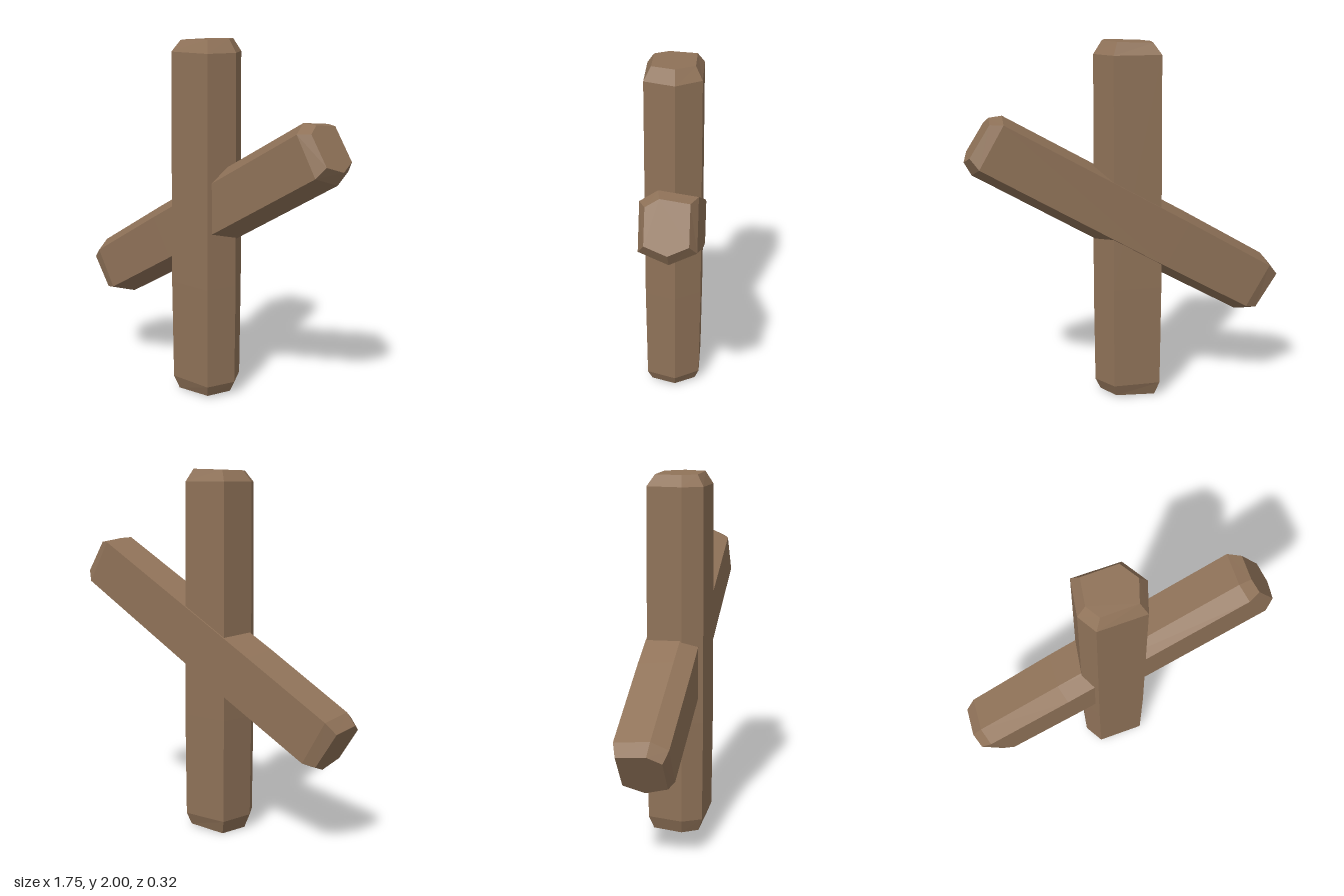
import * as THREE from 'three';

// Irregular hexagonal sections [x, z], counter-clockwise seen from above
const POST = [[-0.21, 0.05], [-0.15, 0.155], [0.115, 0.155], [0.172, -0.01], [0.09, -0.148], [-0.175, -0.15]];
const BEAM = [[-0.177, 0.04], [-0.123, 0.13], [0.12, 0.13], [0.179, -0.02], [0.12, -0.155], [-0.15, -0.155]];

// Hewn timber along y: rings are [height, section scale, slope along x]
function timber(name, section, rings, material) {
  const cx = (section[0][0] + section[3][0]) / 2;
  const loops = rings.map(([y, s, slope]) => section.map(([x, z]) =>
    [cx + (x - cx) * s, y + (x - cx) * s * slope, z * s]));
  const pos = [];
  const tri = (...points) => points.forEach((p) => pos.push(...p));
  const n = section.length;
  for (let r = 0; r < loops.length - 1; r++) {
    for (let i = 0; i < n; i++) {
      const j = (i + 1) % n, low = loops[r], high = loops[r + 1];
      tri(low[i], low[j], high[j]);
      tri(low[i], high[j], high[i]);
    }
  }
  // End caps
  const bottom = loops[0], top = loops[loops.length - 1];
  for (let i = 1; i < n - 1; i++) {
    tri(bottom[0], bottom[i + 1], bottom[i]);
    tri(top[0], top[i], top[i + 1]);
  }
  const geometry = new THREE.BufferGeometry();
  geometry.setAttribute('position', new THREE.Float32BufferAttribute(pos, 3));
  geometry.computeVertexNormals();
  const mesh = new THREE.Mesh(geometry, material);
  mesh.name = name;
  return mesh;
}

export function createModel() {
  const group = new THREE.Group();
  group.name = 'crossedTimbers';
  const wood = new THREE.MeshStandardMaterial({ color: 0x8f7258, flatShading: true });

  // Upright post, slightly swollen below the middle
  group.add(timber('uprightPost', POST, [
    [0.01, 0.83, 0.05], [0.08, 0.99, 0], [0.65, 1.02, 0], [1.93, 0.985, 0], [1.995, 0.74, 0.04],
  ], wood));

  // Slanted crossbeam, rising to the model's left
  const beam = timber('slantedCrossbeam', BEAM, [
    [-0.925, 0.83, 0.05], [-0.855, 0.99, 0], [-0.3, 1.02, 0], [0.86, 0.985, 0], [0.924, 0.75, 0.04],
  ], wood);
  beam.position.set(0, 1.03, 0);
  beam.rotation.z = -Math.PI / 3;
  group.add(beam);
  return group;
}
